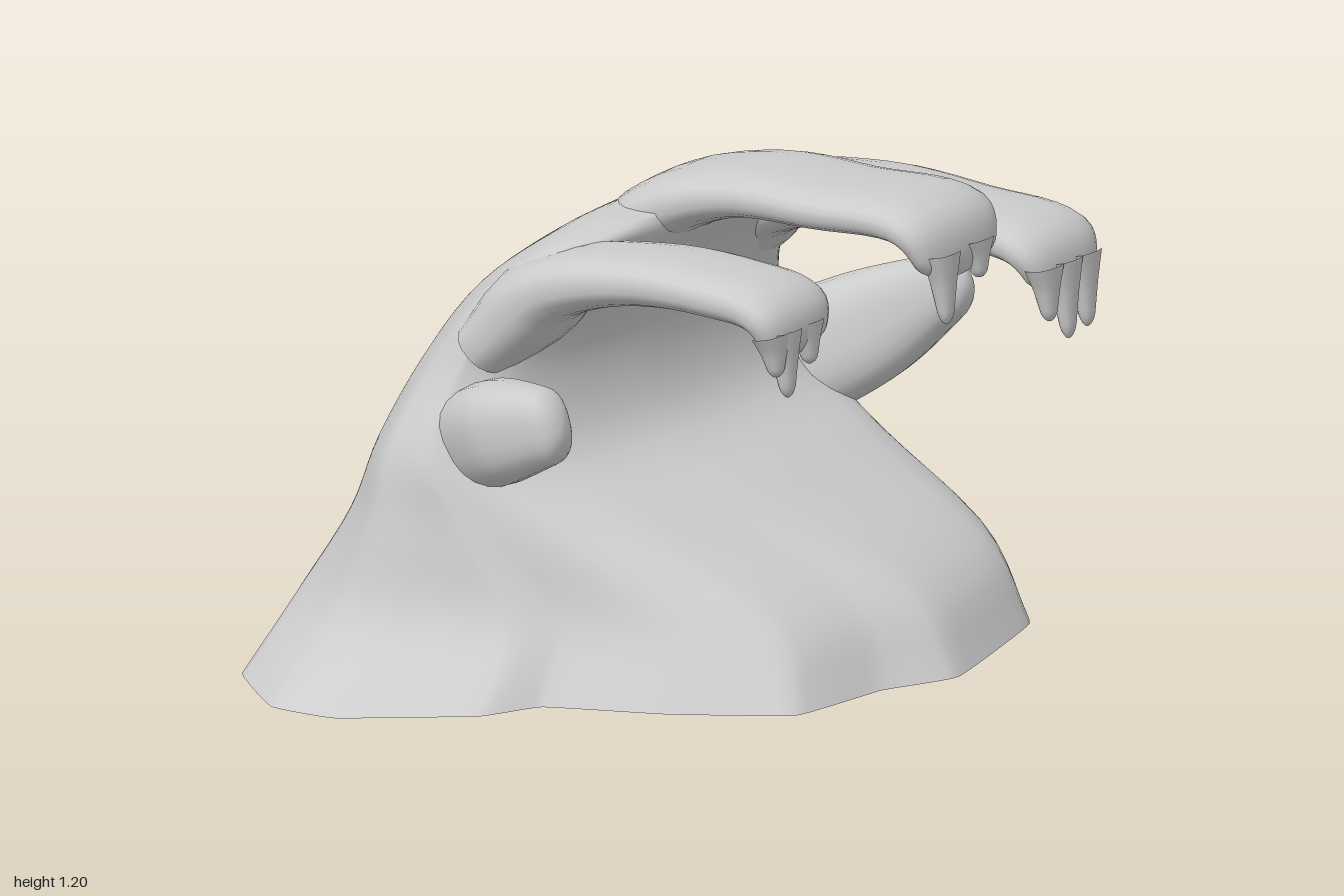
import * as THREE from 'three';

const V = (x, y, z) => new THREE.Vector3(x, y, z);
const bend = (v, e) => Math.sign(v) * Math.abs(v) ** e;
const { lerp, mapLinear } = THREE.MathUtils;
const material = new THREE.MeshStandardMaterial({ color: 0xcccccc });

// Skin a stack of closed loops (counter-clockwise about the stacking direction) and cap its end
function skin(rows) {
  const n = rows[0].length, idx = [];
  const points = rows.flat();
  for (let r = 0; r < rows.length - 1; r++) {
    for (let j = 0; j < n; j++) {
      const a = r * n + j, b = r * n + ((j + 1) % n);
      idx.push(a, b, b + n, a, b + n, a + n);
    }
  }
  const centre = V(0, 0, 0), base = points.length - n;
  rows[rows.length - 1].forEach((p) => centre.addScaledVector(p, 1 / n));
  for (let j = 0; j < n; j++) idx.push(base + j, base + ((j + 1) % n), points.length);
  const g = new THREE.BufferGeometry().setFromPoints([...points, centre]);
  g.setIndex(idx);
  g.computeVertexNormals();
  return g;
}

// Sweep a rounded section along stations { at, thick, wide }, with a rounded tip
function sweep(stations, round, steps = 32, sides = 22) {
  const path = new THREE.CatmullRomCurve3(stations.map((s) => s.at));
  const size = new THREE.CatmullRomCurve3(stations.map((s) => V(s.thick, s.wide, 0)));
  const rows = [];
  for (let i = 0; i <= steps; i++) {
    const u = 1 - (1 - i / steps) ** 1.6;
    const c = path.getPoint(u), s = size.getPoint(u), t = path.getTangent(u);
    const normal = V(-t.y, t.x, 0).normalize();
    const k = Math.max(0, (u - 1 + round) / round);
    const f = Math.sqrt(Math.max(0.002, 1 - k * k));
    rows.push(Array.from({ length: sides }, (_, j) => {
      const a = (j / sides) * Math.PI * 2;
      const p = c.clone().addScaledVector(normal, bend(Math.cos(a), 0.8) * s.x * f);
      p.z += bend(Math.sin(a), 0.8) * s.y * f;
      return p;
    }));
  }
  return skin(rows);
}

// Ragged foot outline as x, z, from the back round by +z
const FOOT = [
  [-0.87, -0.22], [-0.78, 0.18], [-0.66, 0.53], [-0.645, 0.8], [-0.45, 0.99], [-0.27, 1], [0.05, 0.87], [0.14, 0.74],
  [0.42, 0.65], [0.69, 0.5], [0.74, 0.2], [0.83, 0], [0.72, -0.5], [0.53, -0.73], [0.1, -0.88], [-0.21, -1], [-0.51, -0.87],
];
// Extents by height: y, back x, front x, -z side, +z side
const LEVELS = [
  [0.03, -0.87, 0.83, -1, 1], [0.2, -0.81, 0.7, -0.88, 0.78], [0.4, -0.62, 0.3, -0.83, 0.71],
  [0.55, -0.52, 0.05, -0.8, 0.68], [0.75, -0.42, 0, -0.68, 0.57], [0.92, -0.29, 0.06, -0.6, 0.52],
  [1.04, -0.13, 0.13, -0.53, 0.47], [1.09, -0.04, 0.13, -0.28, 0.25],
];

// Rings pass from the ragged foot to a rounded block and fill the extents of their level
function moundRows(around = 85, up = 32) {
  const rings = LEVELS.map(([y, back, front, zMin, zMax]) => {
    const w = Math.min(1, (y - 0.03) / 0.55);
    const pts = FOOT.map(([x, z]) => {
      const a = Math.atan2(z, x), c = Math.cos(a);
      return V(lerp(x, bend(c, c > 0 ? 0.6 : 0.9), w), y, lerp(z, bend(Math.sin(a), 0.8), w));
    });
    const box = new THREE.Box3().setFromPoints(pts);
    pts.forEach((p) => {
      p.x = mapLinear(p.x, box.min.x, box.max.x, back, front);
      p.z = mapLinear(p.z, box.min.z, box.max.z, zMin, zMax);
      // the hollow slants back towards +z, and the foot dips below the middle
      if (p.x > (back + front) / 2) p.x -= 0.07 * w * p.z;
      p.y -= (1 - w) * 0.03 * Math.max(0, 1 - Math.abs(p.x + 0.35) * 2);
    });
    const curve = new THREE.CatmullRomCurve3(pts, true, 'catmullrom', lerp(0.15, 0.5, w));
    return Array.from({ length: around }, (_, j) => curve.getPoint(j / around));
  });
  const columns = rings[0].map((_, j) => new THREE.CatmullRomCurve3(rings.map((r) => r[j]), false, 'centripetal'));
  return Array.from({ length: up + 1 }, (_, i) => columns.map((c) => c.getPoint(i / up)));
}

// Fingers: z, half width, path as x, y, and drips as z, tip y
const THICK = [0.08, 0.08, 0.063, 0.056, 0.052, 0.025];
const FINGERS = [
  { name: 'frontFinger', z: 0.42, wide: 0.155, path: [[-0.17, 0.8], [-0.01, 0.955], [0.22, 1.015], [0.45, 1.015], [0.61, 0.98], [0.64, 0.88]], drips: [[0.48, 0.79], [0.38, 0.85], [0.53, 0.85]] },
  { name: 'middleFinger', z: -0.02, wide: 0.195, path: [[-0.03, 0.95], [0.05, 1.065], [0.26, 1.14], [0.5, 1.14], [0.77, 1.12], [0.825, 1]], drips: [[0.07, 0.9], [-0.08, 0.98]] },
  { name: 'backFinger', z: -0.47, wide: 0.165, path: [[-0.12, 0.83], [0.03, 0.965], [0.28, 1.02], [0.55, 1.005], [0.79, 0.97], [0.84, 0.87]], drips: [[-0.37, 0.81], [-0.455, 0.75], [-0.54, 0.76]] },
];

// Stubs: stations of x, y, z, half thickness, half width
const STUBS = {
  frontStub: [[-0.28, 0.53, 0.42, 0.12, 0.16], [-0.07, 0.63, 0.575, 0.125, 0.125], [0.14, 0.69, 0.645, 0.08, 0.065]],
  backStub: [[-0.14, 0.47, -0.62, 0.16, 0.17], [0.14, 0.62, -0.74, 0.135, 0.1], [0.375, 0.765, -0.785, 0.065, 0.06]],
};

export function createModel() {
  const group = new THREE.Group();
  const add = (name, geometry) => {
    const mesh = new THREE.Mesh(geometry, material);
    mesh.name = name;
    group.add(mesh);
  };

  // Mound and its flat underside
  const rows = moundRows();
  add('mound', skin(rows));
  const rim = rows[0].slice().reverse();
  add('underside', skin([rim, rim.map((p) => V(p.x * 0.97, p.y, p.z * 0.97))]));

  // Fingers curling over the hollow, with drips hanging from their ends
  FINGERS.forEach(({ name, z, wide, path, drips }) => {
    add(name, sweep(path.map(([x, y], i) => ({
      at: V(x, y, z), thick: THICK[i], wide: wide * (i === 5 ? 0.75 : 1),
    })), 0.08));
    const [x, y] = path[path.length - 1];
    drips.forEach(([dz, tip]) => add(name + 'Drip', sweep([0, 0.4, 1].map((u) => ({
      at: V(x + 0.015 * u, lerp(y + 0.07, tip, u), dz),
      thick: 0.036 - 0.022 * u, wide: 0.062 - 0.046 * u ** 0.7,
    })), 0.15, 14, 12)));
  });

  // Short stubs at both sides of the hollow
  Object.entries(STUBS).forEach(([name, stations]) => add(name, sweep(
    stations.map(([x, y, z, thick, wide]) => ({ at: V(x, y, z), thick, wide })), 0.12)));
  return group;
}
